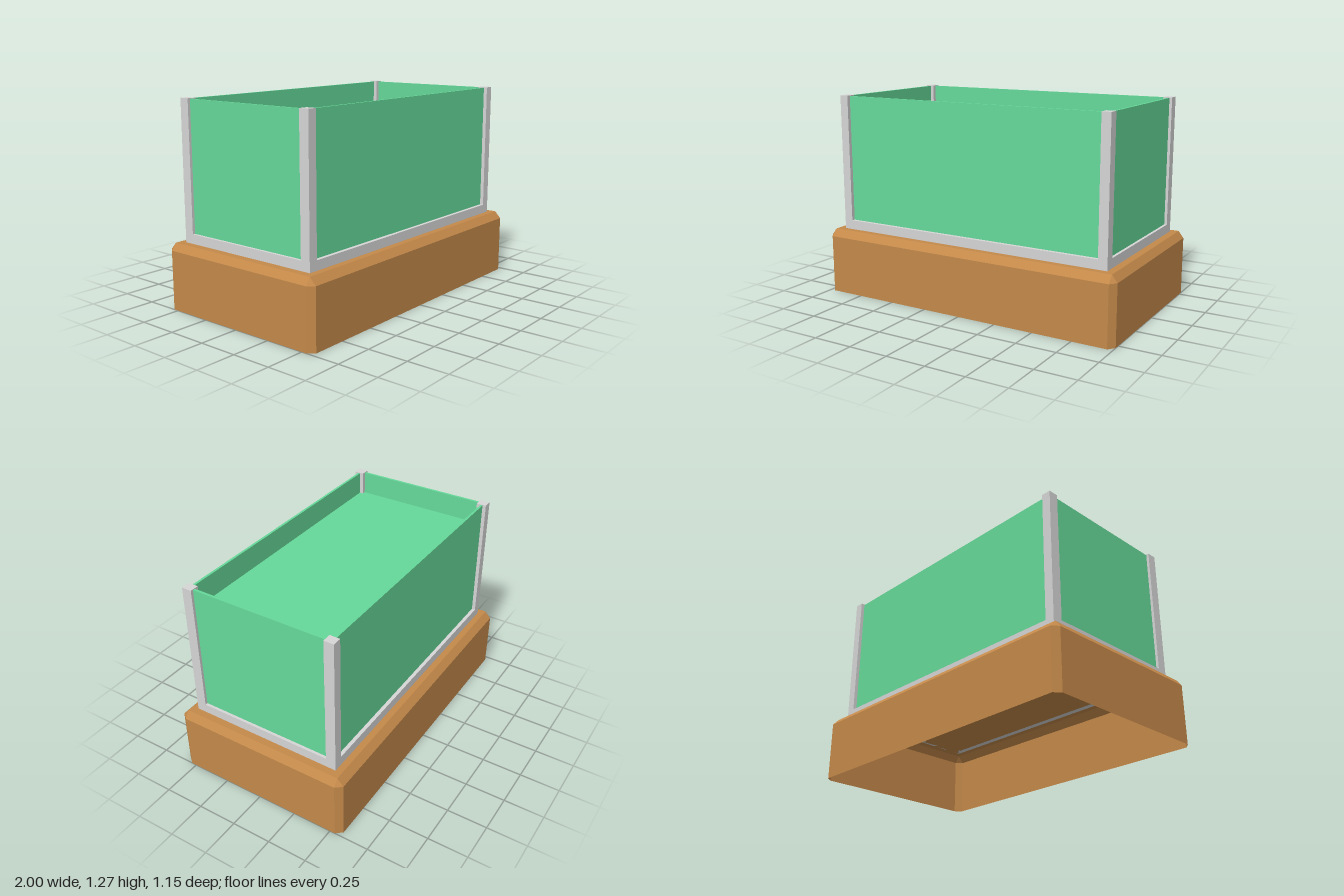
import * as THREE from 'three';

const wood = new THREE.MeshStandardMaterial({ name: 'wood', color: 0xc4894a, side: THREE.DoubleSide, flatShading: true });
const metal = new THREE.MeshStandardMaterial({ name: 'greyFrame', color: 0xd6d6d6 });
const glass = new THREE.MeshStandardMaterial({ name: 'greenGlass', color: 0x66d999 });

const BASE_TOP = 0.41, BEVEL_Y = 0.367, CASE_TOP = 1.27, FILL_TOP = 1.12;

function box(name, material, x0, x1, y0, y1, z0, z1) {
  const mesh = new THREE.Mesh(new THREE.BoxGeometry(x1 - x0, y1 - y0, z1 - z0), material);
  mesh.position.set((x0 + x1) / 2, (y0 + y1) / 2, (z0 + z1) / 2);
  mesh.name = name;
  return mesh;
}

// Hollow plinth shell, open below: chamfered corners and a bevelled top
function plinth() {
  const X = 1, Z = 0.573, x = 0.967, z = 0.533;
  const outer = [[x, Z], [X, z], [X, -z], [x, -Z], [-x, -Z], [-X, -z], [-X, z], [-x, Z]];
  const inner = outer.map(([a, b]) => [Math.sign(a) * x, Math.sign(b) * z]);
  const rings = [
    outer.map(([a, b]) => [a, 0, b]),
    outer.map(([a, b]) => [a, BEVEL_Y, b]),
    inner.map(([a, b]) => [a, BASE_TOP, b]),
  ];
  const pos = [];
  const tri = (...pts) => pts.forEach((p) => pos.push(...p));
  for (let r = 0; r < 2; r++) {
    for (let i = 0; i < 8; i++) {
      const j = (i + 1) % 8;
      const a = rings[r][i], b = rings[r][j], c = rings[r + 1][j], d = rings[r + 1][i];
      tri(a, b, c);
      // the bevel closes to a single point at each corner
      if (c[0] !== d[0] || c[2] !== d[2]) tri(a, c, d);
    }
  }
  const t = rings[2];
  tri(t[0], t[2], t[4]);
  tri(t[0], t[4], t[6]);
  const geo = new THREE.BufferGeometry();
  geo.setAttribute('position', new THREE.Float32BufferAttribute(pos, 3));
  geo.computeVertexNormals();
  const mesh = new THREE.Mesh(geo, wood);
  mesh.name = 'plinth';
  return mesh;
}

export function createModel() {
  const model = new THREE.Group();
  model.name = 'displayCase';
  model.add(plinth());

  const frame = new THREE.Group();
  frame.name = 'frame';
  const panes = new THREE.Group();
  panes.name = 'panes';

  // Mirrored pairs: span(s, a, b) gives the ordered range on side s
  const span = (s, a, b) => (s > 0 ? [a, b] : [-b, -a]);
  for (const s of [1, -1]) {
    const side = s > 0 ? 'left' : 'right';
    const end = s > 0 ? 'front' : 'back';

    // Corner posts
    for (const e of [1, -1]) {
      frame.add(box(side + (e > 0 ? 'Front' : 'Back') + 'Post', metal,
        ...span(s, 0.865, 0.922), BASE_TOP, CASE_TOP, ...span(e, 0.43, 0.493)));
    }

    // Bottom rails
    frame.add(box(end + 'Rail', metal, -0.865, 0.865, BASE_TOP, 0.468, ...span(s, 0.455, 0.493)));
    frame.add(box(side + 'Rail', metal, ...span(s, 0.89, 0.922), BASE_TOP, 0.468, -0.43, 0.43));

    // Glass walls set behind the rails
    panes.add(box(end + 'Pane', glass, -0.865, 0.865, 0.468, 1.266, ...span(s, 0.455, 0.47)));
    panes.add(box(side + 'Pane', glass, ...span(s, 0.889, 0.905), 0.468, 1.266, -0.43, 0.43));
  }
  model.add(frame, panes);

  // Inner block whose top lies a little below the rim
  model.add(box('innerBlock', glass, -0.889, 0.889, BASE_TOP + 0.003, FILL_TOP, -0.455, 0.455));
  return model;
}
